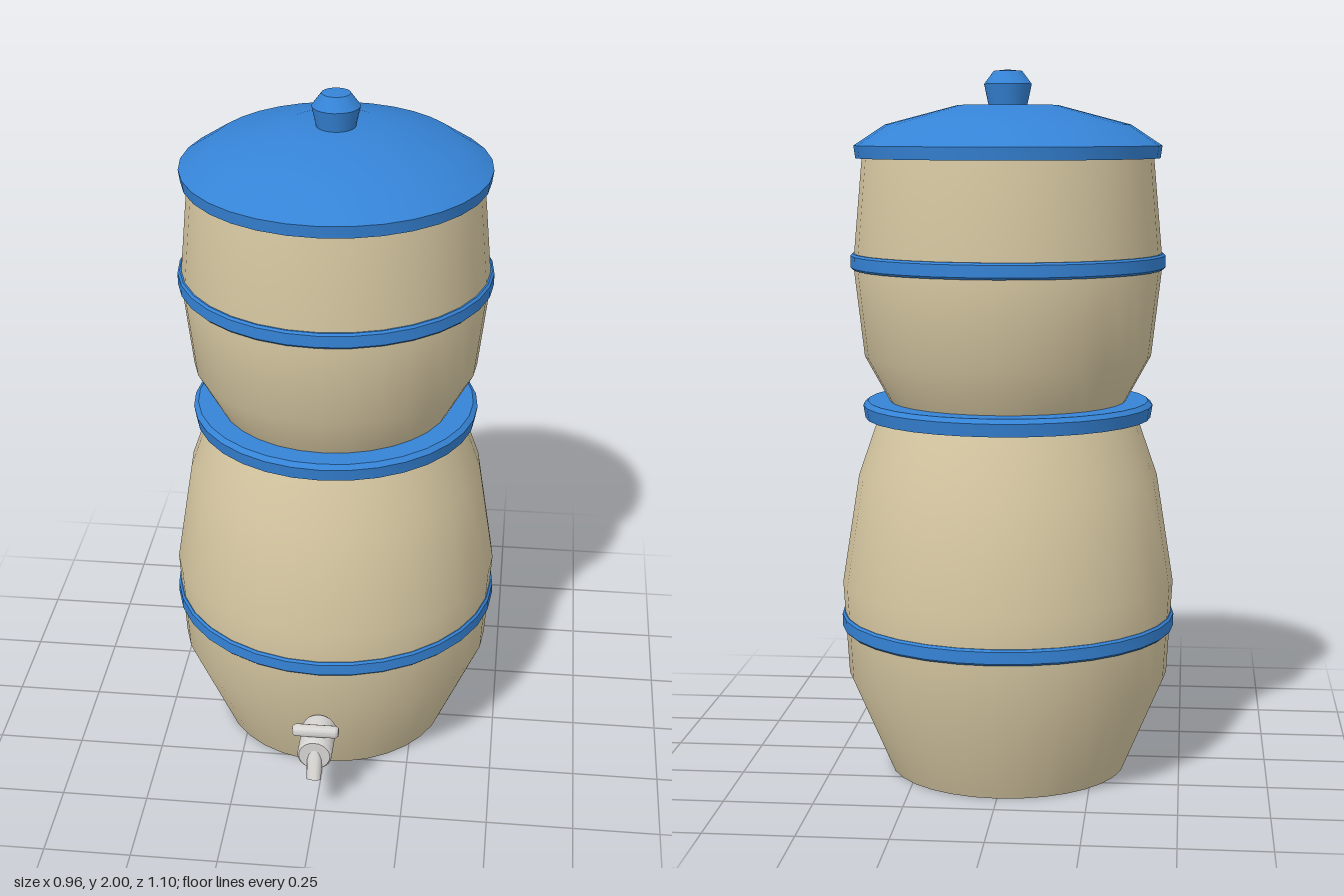
import * as THREE from 'three';
import { toCreasedNormals } from 'three/addons/utils/BufferGeometryUtils.js';

const material = (name, color) => {
  const m = new THREE.MeshStandardMaterial({ color });
  m.name = name;
  return m;
};

export function createModel() {
  const clay = material('beige clay', 0xd8c9a3);
  const blue = material('blue trim', 0x3583d6);
  const metal = material('pale metal', 0xd6d4d1);

  const model = new THREE.Group();
  model.name = 'waterFilter';
  const filter = new THREE.Group();
  filter.name = 'vessels';
  filter.position.z = -0.07;
  const tap = new THREE.Group();
  tap.name = 'tap';
  model.add(filter, tap);

  // Turned part from [radius, height] pairs, listed bottom to top
  const turn = (parent, name, mat, profile, segments = 32) => {
    const points = profile.map(([r, y]) => new THREE.Vector2(r, y));
    const geo = toCreasedNormals(new THREE.LatheGeometry(points, segments), 0.7);
    const mesh = new THREE.Mesh(geo, mat);
    mesh.name = name;
    parent.add(mesh);
    return mesh;
  };
  // Hoop with slightly bevelled edges
  const band = (name, r, y0, y1) => turn(filter, name, blue, [
    [r - 0.03, y0], [r - 0.006, y0], [r, y0 + 0.006],
    [r, y1 - 0.006], [r - 0.006, y1], [r - 0.03, y1],
  ]);

  // Lower vessel and its collar
  turn(filter, 'lowerVessel', clay, [
    [0, 0], [0.34, 0], [0.46, 0.28], [0.476, 0.55], [0.427, 0.86], [0.368, 1.03], [0, 1.03],
  ]);
  band('lowerBand', 0.479, 0.415, 0.46);
  turn(filter, 'collar', blue, [
    [0, 1.024], [0.407, 1.024], [0.413, 1.06], [0.40, 1.072], [0, 1.072],
  ]);

  // Upper vessel
  turn(filter, 'upperVessel', clay, [
    [0, 1.068], [0.335, 1.068], [0.407, 1.2], [0.437, 1.46], [0.41, 1.76], [0, 1.76],
  ]);
  band('upperBand', 0.445, 1.445, 1.49);

  // Lid and knob
  turn(filter, 'lid', blue, [
    [0, 1.755], [0.428, 1.755], [0.433, 1.79], [0.345, 1.848], [0.14, 1.902], [0, 1.904],
  ]);
  turn(filter, 'knob', blue, [
    [0, 1.89], [0.052, 1.89], [0.067, 1.96], [0.04, 1.996], [0, 2],
  ], 24);

  // Tap: stem into the vessel, barrel, handle and slanted spout
  const alongZ = (mesh) => {
    mesh.rotation.x = Math.PI / 2;
    mesh.position.y = 0.21;
  };
  alongZ(turn(tap, 'tapStem', metal, [[0.03, 0.32], [0.03, 0.39]], 16));
  alongZ(turn(tap, 'tapBarrel', metal, [
    [0, 0.38], [0.045, 0.38], [0.05, 0.385], [0.05, 0.506], [0.045, 0.512], [0, 0.512],
  ], 20));
  const handle = turn(tap, 'tapHandle', metal, [
    [0, -0.068], [0.012, -0.066], [0.018, -0.058], [0.018, 0.058], [0.012, 0.066], [0, 0.068],
  ], 16);
  handle.rotation.z = Math.PI / 2;
  handle.position.set(0, 0.274, 0.479);
  const spout = turn(tap, 'tapSpout', metal, [
    [0, -0.05], [0.021, -0.05], [0.023, 0.05], [0, 0.05],
  ], 16);
  spout.rotation.x = -0.47;
  spout.position.set(0, 0.186, 0.508);

  return model;
}
